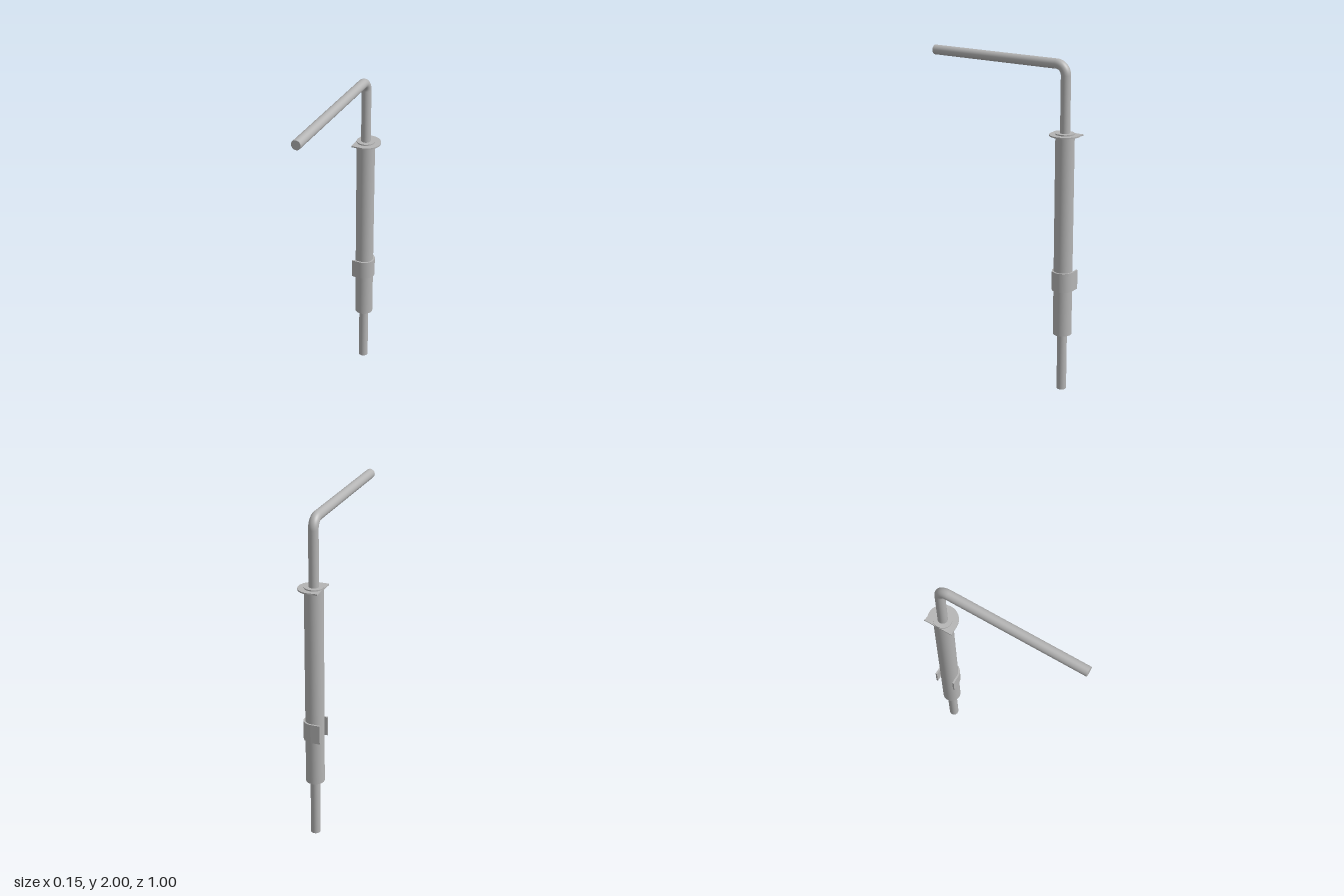
import * as THREE from 'three';

const X = -0.018, Z = -0.411;      // axis of the upright rod
const ROD = 0.029, SLEEVE = 0.0555, BEND = 0.06, ARM_Y = 1.971;
const LEFT = -0.0735;              // flat side shared by sleeve, strap and plate

export function createModel() {
  const model = new THREE.Group();
  const steel = new THREE.MeshStandardMaterial({ color: 0xb4b4b4 });
  steel.name = 'steel grey';

  const add = (name, geometry, x, y, z) => {
    const mesh = new THREE.Mesh(geometry, steel);
    mesh.name = name;
    mesh.position.set(x, y, z);
    model.add(mesh);
    return mesh;
  };
  const upright = (name, radius, y0, y1) =>
    add(name, new THREE.CylinderGeometry(radius, radius, y1 - y0, 40), X, (y0 + y1) / 2, Z);

  // Extrudes a plan outline (shape x = x, shape y = -z) upwards from y0
  const plan = (name, shape, y0, height) => {
    const geometry = new THREE.ExtrudeGeometry(shape, { depth: height, bevelEnabled: false, curveSegments: 32 });
    geometry.rotateX(-Math.PI / 2);
    return add(name, geometry, 0, y0, Z);
  };

  // Bent rod: upright, quarter bend, forward arm
  upright('uprightRod', ROD, 0, ARM_Y - BEND);
  const bend = new THREE.TorusGeometry(BEND, ROD, 32, 16, Math.PI / 2).rotateY(Math.PI / 2);
  add('rodBend', bend, X, ARM_Y - BEND, Z + BEND);
  const armStart = Z + BEND, armLength = 0.5 - armStart;
  const arm = new THREE.CylinderGeometry(ROD, ROD, armLength, 40).rotateX(Math.PI / 2);
  add('forwardArm', arm, X, ARM_Y, armStart + armLength / 2);

  // Outer sleeve
  upright('sleeve', SLEEVE, 0.355, 1.58);

  // U-shaped strap hugging the sleeve, open towards -x
  const outer = 0.066;
  const strap = new THREE.Shape();
  strap.moveTo(LEFT, -outer);
  strap.lineTo(X, -outer);
  strap.absarc(X, 0, outer, -Math.PI / 2, Math.PI / 2, false);
  strap.lineTo(LEFT, outer);
  strap.lineTo(LEFT, SLEEVE);
  strap.lineTo(X, SLEEVE);
  strap.absarc(X, 0, SLEEVE, Math.PI / 2, -Math.PI / 2, true);
  strap.lineTo(LEFT, -SLEEVE);
  strap.closePath();
  plan('strap', strap, 0.635, 0.117);

  // Thin collar plate with a straight side and a slightly flared back corner
  const r = 0.089, cx = 0.0735 - r;
  const plate = new THREE.Shape();
  plate.moveTo(LEFT, -r);
  plate.lineTo(cx, -r);
  plate.absarc(cx, 0, r, -Math.PI / 2, Math.PI * 0.58, false);
  plate.quadraticCurveTo(-0.052, 0.083, LEFT, r);
  plate.closePath();
  plan('collarPlate', plate, 1.565, 0.008);

  return model;
}
